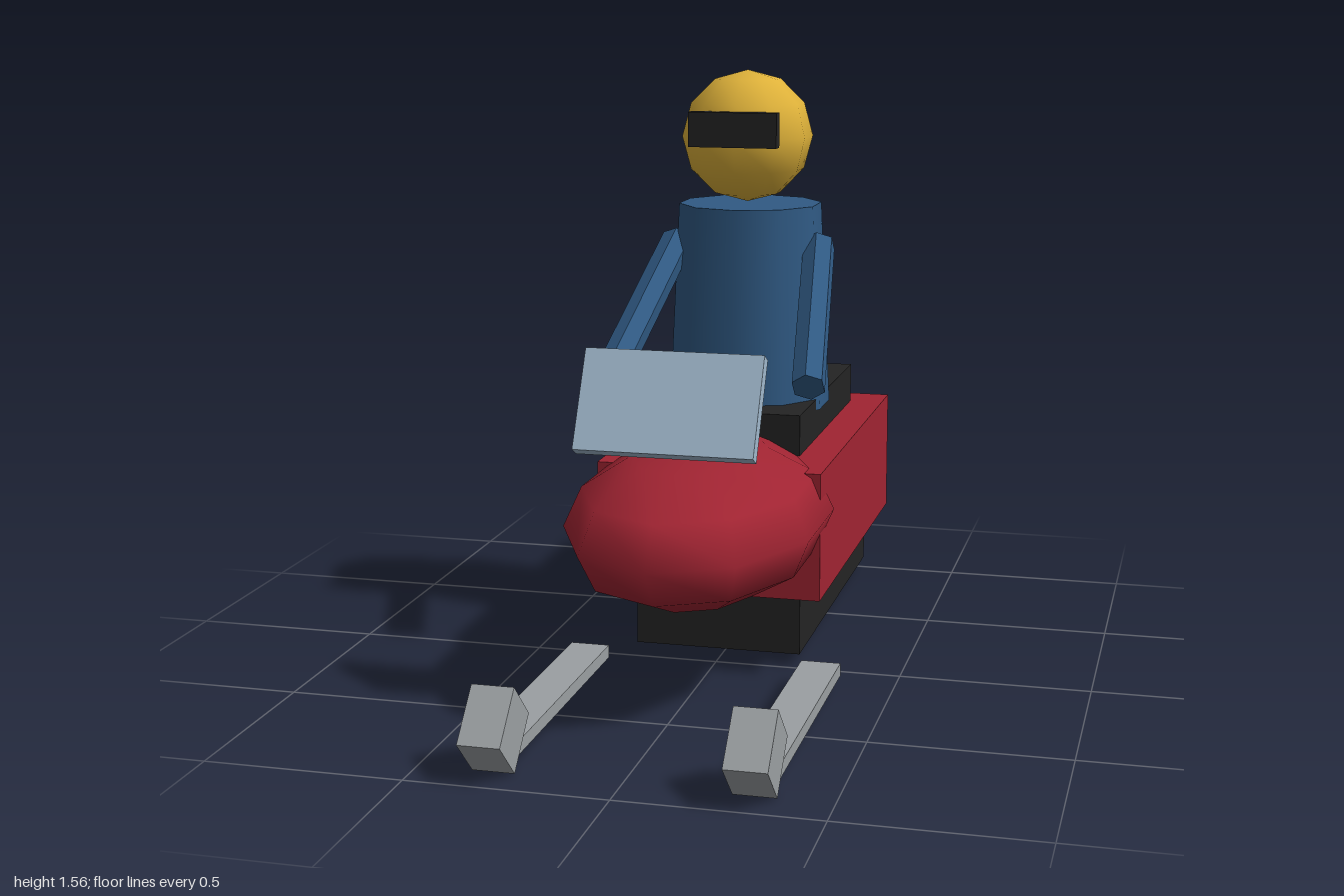
import * as THREE from 'three';

const mat = (name, color, flatShading = false) => {
  const m = new THREE.MeshStandardMaterial({ color, flatShading });
  m.name = name;
  return m;
};

export function createModel() {
  const red = mat('red paint', 0xa02432);
  const black = mat('black rubber', 0x242424);
  const blue = mat('blue suit', 0x305a84);
  const yellow = mat('yellow helmet', 0xdfb23a);
  const glass = mat('pale glass', 0xa0b8cc);
  const grey = mat('grey metal', 0x9a9fa2);

  const model = new THREE.Group();
  model.name = 'snowmobileWithRider';

  const add = (name, geometry, material, x, y, z) => {
    const mesh = new THREE.Mesh(geometry, material);
    mesh.name = name;
    mesh.position.set(x, y, z);
    model.add(mesh);
    return mesh;
  };
  const box = (name, material, w, h, d, x, y, z) =>
    add(name, new THREE.BoxGeometry(w, h, d), material, x, y, z);
  // low-poly ball with a corner pointing forward
  const ball = (r) => new THREE.SphereGeometry(r, 10, 6, Math.PI / 2);

  // machine
  box('track', black, 0.45, 0.225, 0.98, 0, 0.147, -0.51);
  box('body', red, 0.6, 0.34, 1.05, 0, 0.39, -0.435);
  box('seat', black, 0.41, 0.13, 0.75, 0, 0.605, -0.475);
  add('cowl', ball(1), red, 0, 0.447, 0.165).scale.set(0.335, 0.202, 0.538);
  box('windscreen', glass, 0.45, 0.26, 0.04, 0, 0.805, 0.465).rotation.x = -0.49;

  // rider
  add('torso', new THREE.CylinderGeometry(0.197, 0.224, 0.56, 10), blue, 0, 0.92, -0.398);
  add('helmet', ball(0.179), yellow, 0, 1.387, -0.362);
  box('visor', black, 0.24, 0.093, 0.038, 0, 1.416, -0.195);

  for (const side of [1, -1]) {
    const label = side > 0 ? 'left' : 'right';

    // arm from shoulder to handlebar
    const shoulder = new THREE.Vector3(side * 0.2, 1.093, -0.366);
    const hand = new THREE.Vector3(side * 0.265, 0.787, 0.088);
    const dir = hand.clone().sub(shoulder);
    const mid = shoulder.clone().add(hand).multiplyScalar(0.5);
    const arm = add(label + 'Arm',
      new THREE.CylinderGeometry(0.045, 0.045, dir.length(), 6).toNonIndexed(),
      blue, mid.x, mid.y, mid.z);
    arm.geometry.computeVertexNormals();
    arm.quaternion.setFromUnitVectors(new THREE.Vector3(0, -1, 0), dir.normalize());

    // ski with upturned block tip
    box(label + 'Ski', grey, 0.103, 0.034, 0.75, side * 0.313, 0.053, 0.505);
    box(label + 'SkiTip', grey, 0.105, 0.155, 0.14, side * 0.313, 0.107, 0.896).rotation.x = -0.77;
  }
  return model;
}
